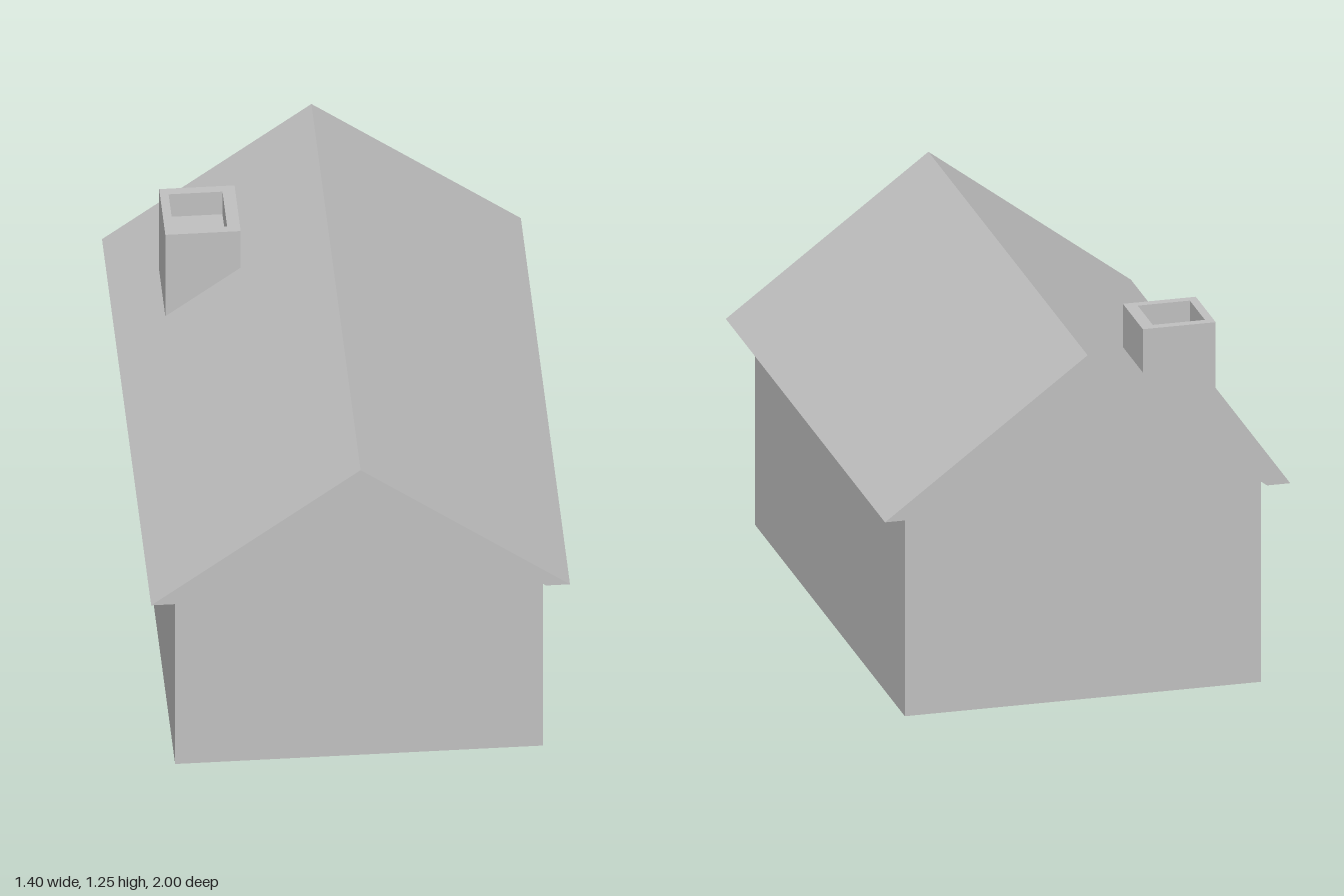
import * as THREE from 'three';

const grey = new THREE.MeshStandardMaterial({ color: 0xc0c0c0, side: THREE.DoubleSide });
grey.name = 'plain grey';

const WALL_X = 0.615, WALL_Z = 0.94;
const EAVE = 0.72, PEAK_IN = 1.18, PEAK_OUT = 1.245;
const ROOF_IN = 0.62, ROOF_OUT = 0.70;

const outline = (points) => new THREE.Shape(points.map(([x, y]) => new THREE.Vector2(x, y)));

function addMesh(parent, name, geometry, x = 0, y = 0, z = 0) {
  const mesh = new THREE.Mesh(geometry, grey);
  mesh.name = name;
  mesh.position.set(x, y, z);
  parent.add(mesh);
  return mesh;
}

const extrude = (shape, depth) => new THREE.ExtrudeGeometry(shape, { depth, bevelEnabled: false });

export function createModel() {
  const house = new THREE.Group();
  house.name = 'house';

  // Thin walls around a hollow, floorless interior
  const wallTop = PEAK_IN - (PEAK_IN - EAVE) * WALL_X / ROOF_IN;
  const gable = outline([[-WALL_X, 0], [WALL_X, 0], [WALL_X, wallTop], [0, PEAK_IN], [-WALL_X, wallTop]]);
  for (const side of [1, -1]) {
    const end = addMesh(house, side > 0 ? 'frontWall' : 'backWall', new THREE.ShapeGeometry(gable), 0, 0, side * WALL_Z);
    end.rotation.y = side > 0 ? 0 : Math.PI;
    const long = addMesh(house, side > 0 ? 'leftWall' : 'rightWall',
      new THREE.PlaneGeometry(2 * WALL_Z, wallTop), side * WALL_X, wallTop / 2, 0);
    long.rotation.y = side * Math.PI / 2;
  }

  // Pitched roof with level-cut eaves
  const roof = outline([
    [-ROOF_OUT, EAVE], [-ROOF_IN, EAVE], [0, PEAK_IN],
    [ROOF_IN, EAVE], [ROOF_OUT, EAVE], [0, PEAK_OUT],
  ]);
  addMesh(house, 'roof', extrude(roof, 2), 0, 0, -1);

  // Chimney: stack with a sloping foot inside the roof, topped by a hollow rim
  const chimney = new THREE.Group();
  chimney.name = 'chimney';
  house.add(chimney);
  const x0 = -0.537, x1 = -0.285, z0 = -0.657, z1 = -0.407, top = 1.185, flueFloor = 1.09;
  const foot = (x) => PEAK_OUT - 0.03 + 0.75 * x;
  const stack = outline([[x0, foot(x0)], [x1, foot(x1)], [x1, flueFloor], [x0, flueFloor]]);
  addMesh(chimney, 'chimneyStack', extrude(stack, z1 - z0), 0, 0, z0);

  const rim = outline([[x0, -z1], [x1, -z1], [x1, -z0], [x0, -z0]]);
  rim.holes.push(outline([[-0.508, 0.437], [-0.508, 0.626], [-0.328, 0.626], [-0.328, 0.437]]));
  addMesh(chimney, 'chimneyRim', extrude(rim, top - flueFloor), 0, flueFloor, 0).rotation.x = -Math.PI / 2;

  return house;
}
